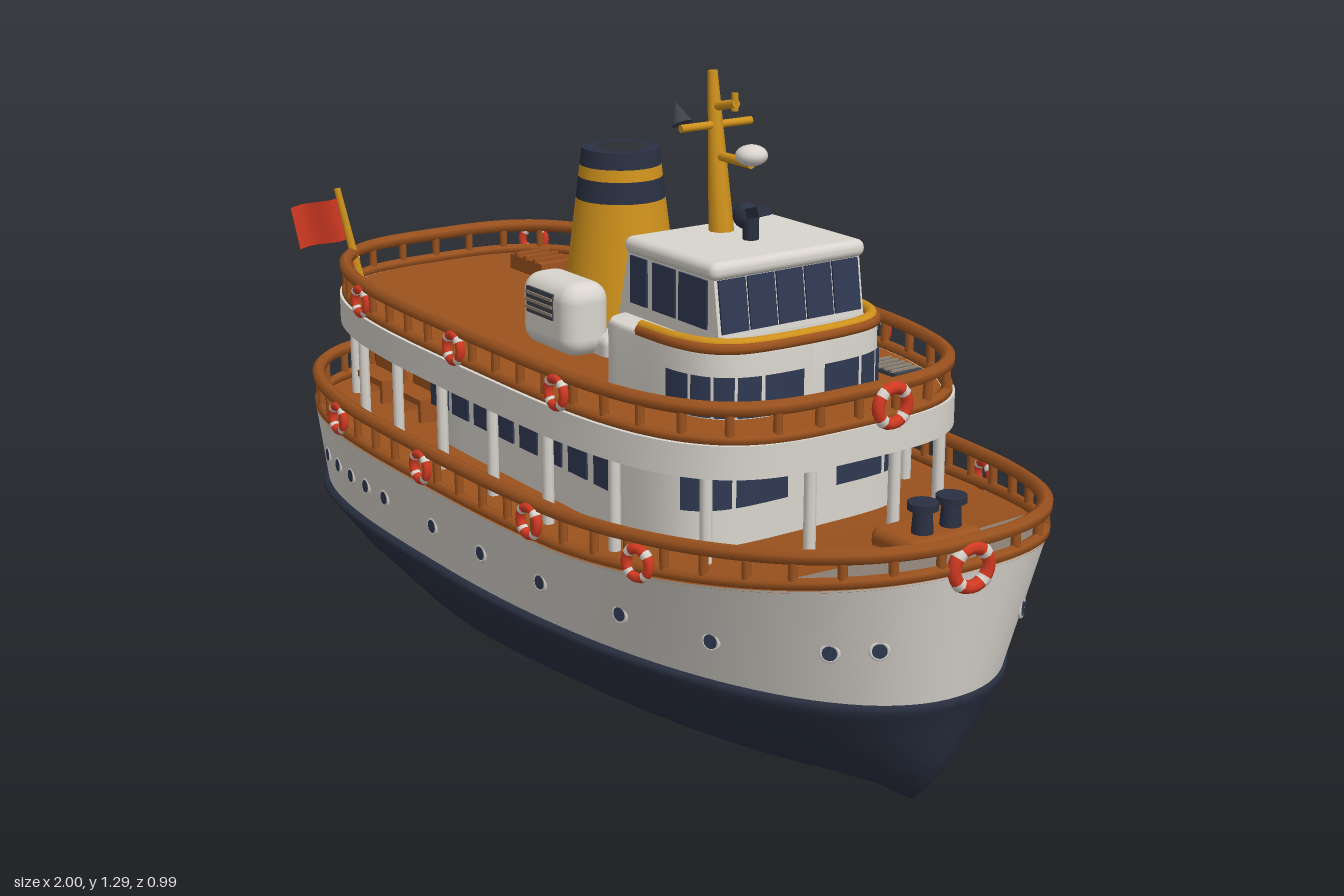
import * as THREE from 'three';
import { RoundedBoxGeometry } from 'three/addons/geometries/RoundedBoxGeometry.js';

const paint = (name, color, side = THREE.FrontSide) => {
  const m = new THREE.MeshStandardMaterial({ color, side });
  m.name = name;
  return m;
};

export function createModel() {
  const white = paint('white paint', 0xd8d4cd);
  const navy = paint('navy paint', 0x2a3042);
  const glass = paint('window glass', 0x2f3952);
  const wood = paint('varnished wood', 0x9b521e);
  const gold = paint('gold paint', 0xd0921c);
  const red = paint('red', 0xd23a22, THREE.DoubleSide);
  const grey = paint('grey deck', 0x8f8377);
  const dark = paint('dark metal', 0x3d4149);

  const ship = new THREE.Group();
  ship.name = 'ferry';
  const add = (name, geo, mat, x = 0, y = 0, z = 0, parent = ship) => {
    const m = new THREE.Mesh(geo, mat);
    m.name = name;
    m.position.set(x, y, z);
    parent.add(m);
    return m;
  };
  const box = (name, mat, w, h, d, x, y, z) => add(name, new THREE.BoxGeometry(w, h, d), mat, x, y, z);
  const V = (x, y, z) => new THREE.Vector3(x, y, z);
  // round bar between two points
  const bar = (name, mat, a, b, r0, r1 = r0) => {
    const d = b.clone().sub(a), p = a.clone().add(b).multiplyScalar(0.5);
    const m = add(name, new THREE.CylinderGeometry(r1, r0, d.length(), 8), mat, p.x, p.y, p.z);
    m.quaternion.setFromUnitVectors(V(0, 1, 0), d.normalize());
  };

  // Plan outlines: [stern x, bow x, half beam, stern power, bow power, middle x]
  const at = ([xs, xb, B, ns, nb, xm], t, y, s = 1) => {
    const c = Math.cos(t), n = c > 0 ? nb : ns, reach = c > 0 ? xb - xm : xm - xs;
    const x = xm + s * reach * Math.sign(c) * Math.abs(c) ** (2 / n);
    const z = s * B * Math.sign(Math.sin(t)) * Math.abs(Math.sin(t)) ** (2 / n);
    return V(x, typeof y === 'function' ? y(x) : y, z);
  };
  // skin through rings of [outline, y, scale]
  const loft = (rings, t0 = 0, t1 = Math.PI * 2, N = 120) => {
    const pos = [], idx = [];
    for (const [o, y, s] of rings)
      for (let j = 0; j <= N; j++) pos.push(...at(o, t0 + (t1 - t0) * j / N, y, s ?? 1).toArray());
    for (let i = 0; i < rings.length - 1; i++)
      for (let j = 0; j < N; j++) {
        const a = i * (N + 1) + j, c = a + N + 1;
        idx.push(a, c, a + 1, a + 1, c, c + 1);
      }
    const g = new THREE.BufferGeometry();
    g.setAttribute('position', new THREE.Float32BufferAttribute(pos, 3));
    g.setIndex(idx);
    g.computeVertexNormals();
    return g;
  };
  const floor = (o, y) => loft([1, 0.9, 0.75, 0.55, 0.3, 0].map(s => [o, y, s]));
  const curveOf = (o, y) => new THREE.CatmullRomCurve3(
    Array.from({ length: 96 }, (_, i) => at(o, i / 96 * Math.PI * 2, y)), true);
  const railing = (name, o, yLow, yTop, count) => {
    const low = curveOf(o, yLow), top = curveOf(o, yTop);
    add(name + 'LowerRail', new THREE.TubeGeometry(low, 200, 0.012, 6, true), wood);
    add(name + 'TopRail', new THREE.TubeGeometry(top, 200, 0.015, 6, true), wood);
    for (let i = 0; i < count; i++)
      bar(name + 'Post', wood, low.getPointAt(i / count), top.getPointAt(i / count), 0.009);
  };

  // Hull
  const sheer = x => 0.08 * Math.max(0, (x - 0.3) / 0.68) ** 1.5;
  const hullTop = x => 0.435 + sheer(x);
  const lip = [-1, 0.945, 0.46, 3.4, 2.1, -0.15];
  const water = [-0.985, 0.94, 0.448, 3.4, 2.1, -0.15];
  const gunwale = [-0.98, 0.982, 0.48, 3.4, 2.5, -0.15];
  const mainRail = [-0.97, 0.978, 0.473, 3.4, 2.5, -0.15];
  const keel = [-0.87, 0.82, 0.05, 1.3, 1.5, -0.1];
  add('lowerHull', loft([
    [keel, 0, 0], [keel, 0],
    [[-0.87, 0.85, 0.2, 1.2, 1.6, -0.1], 0.03],
    [[-0.875, 0.875, 0.32, 1.5, 1.7, -0.1], 0.065],
    [[-0.885, 0.9, 0.395, 2, 1.8, -0.12], 0.115],
    [[-0.93, 0.92, 0.435, 2.8, 2, -0.15], 0.18],
    [[-0.985, 0.935, 0.452, 3.3, 2.1, -0.15], 0.225],
    [lip, 0.24], [lip, 0.252], [water, 0.257]]), navy);
  add('upperHull', loft([[water, 0.25], [gunwale, hullTop]]), white);
  add('mainDeck', floor(gunwale, x => hullTop(x) - 0.004), wood);
  railing('main', mainRail, x => 0.447 + sheer(x), x => 0.511 + sheer(x) * 0.75, 56);

  // Grey foredeck plate
  const plate = new THREE.Shape([-0.66, -0.45, -0.3, -0.15, 0, 0.15, 0.3, 0.45, 0.66].map(t => {
    const p = at([-0.98, 0.96, 0.455, 3.4, 2.5, -0.15], t, 0);
    return new THREE.Vector2(p.x, -p.z);
  }).concat([[0.83, 0.2], [0.81, 0.02], [0.76, -0.06], [0.77, -0.14], [0.8, -0.19]].map(p => new THREE.Vector2(...p))));
  const plateGeo = new THREE.ShapeGeometry(plate).rotateX(-Math.PI / 2);
  const pp = plateGeo.attributes.position;
  for (let i = 0; i < pp.count; i++) pp.setY(i, hullTop(pp.getX(i)) + 0.006);
  plateGeo.computeVertexNormals();
  add('foredeckPlate', plateGeo, grey);

  // Portholes, placed on the hull side by x and y
  const side = (x, y) => {
    const f = t => {
      const a = at(water, t, 0.25), b = at(gunwale, t, hullTop);
      return a.clone().lerp(b, (y - a.y) / (b.y - a.y));
    };
    let lo = 0, hi = Math.PI;
    for (let i = 0; i < 40; i++) { const m = (lo + hi) / 2; if (f(m).x > x) lo = m; else hi = m; }
    const d = f(lo + 0.01).sub(f(lo - 0.01));
    return { p: f(lo), n: V(d.z, 0, -d.x).normalize() };
  };
  for (const [x, y] of [[-0.7, 0.345], [-0.62, 0.345], [-0.54, 0.345], [-0.46, 0.345], [-0.37, 0.345],
    [-0.16, 0.345], [0.03, 0.345], [0.23, 0.345], [0.45, 0.345], [0.65, 0.345], [0.85, 0.365], [0.91, 0.375]])
    for (const s of [1, -1]) {
      const { p, n } = side(x, y);
      p.z *= s; n.z *= s;
      const g = new THREE.Group();
      g.name = 'porthole';
      g.position.copy(p);
      g.quaternion.setFromUnitVectors(V(0, 0, 1), n);
      add('portholeGlass', new THREE.CylinderGeometry(0.014, 0.014, 0.008, 12).rotateX(Math.PI / 2), glass, 0, 0, 0, g);
      add('portholeRim', new THREE.TorusGeometry(0.016, 0.004, 6, 14), white, 0, 0, 0, g);
      ship.add(g);
    }

  // Main cabin, windows and deck benches
  const cabin = [-0.46, 0.5, 0.3, 12, 5, 0.1];
  add('mainCabin', loft([[cabin, 0.42], [cabin, 0.63]]), white);
  for (const s of [1, -1]) {
    for (let i = 0; i < 8; i++) box('cabinWindow', glass, 0.066, 0.068, 0.008, -0.41 + i * 0.092, 0.543, s * 0.3);
    box('cabinDoor', wood, 0.006, 0.15, 0.06, -0.46, 0.51, s * 0.2);
    for (const x of [-0.78, -0.6]) {
      box('benchSeat', wood, 0.13, 0.015, 0.06, x, 0.48, s * 0.25);
      box('benchBack', wood, 0.13, 0.05, 0.012, x, 0.505, s * 0.22);
      for (const e of [-0.05, 0.05]) box('benchLeg', wood, 0.012, 0.05, 0.05, x + e, 0.455, s * 0.25);
    }
  }
  // window panes wrapped around a curved front
  const panes = (name, o, y0, y1, tMax, count) => {
    const big = [o[0], o[1] + 0.004, o[2] + 0.004, ...o.slice(3)];
    const step = 2 * tMax / count;
    for (let i = 0; i < count; i++)
      add(name, loft([[big, y0], [big, y1]], -tMax + step * (i + 0.06), -tMax + step * (i + 0.94), 6), glass);
  };
  panes('cabinFrontWindow', cabin, 0.52, 0.605, 0.85, 6);

  // Promenade deck: white band, inset wooden rail, pillars below
  const prom = [-0.96, 0.648, 0.409, 3.4, 3.6, -0.1];
  const promRail = [-0.947, 0.636, 0.394, 3.4, 3.6, -0.1];
  const promFloor = [-0.937, 0.626, 0.384, 3.4, 3.6, -0.1];
  add('promenadeBand', loft([[prom, 0.622], [prom, 0.686]]), white);
  add('promenadeEdge', loft([[prom, 0.686], [promFloor, 0.686]]), white);
  add('promenadeUnderside', loft([[prom, 0.624, 0], [prom, 0.624]]), wood);
  add('promenadeDeck', floor(promFloor, 0.687), wood);
  railing('promenade', promRail, 0.694, 0.752, 46);
  const pillars = curveOf(promFloor, 0.43);
  for (let i = 0; i < 20; i++) {
    const p = pillars.getPointAt((i + 0.5) / 20);
    bar('deckPillar', white, p, V(p.x, 0.63, p.z), 0.012);
  }

  // Bridge: curved lower tier, wheelhouse with raked back, roof
  const tier = [0.12, 0.5, 0.235, 8, 3.6, 0.25];
  add('bridgeLowerTier', loft([[tier, 0.68], [tier, 0.81], [tier, 0.82, 0.97], [tier, 0.82, 0]]), white);
  panes('lowerTierWindow', tier, 0.69, 0.77, 1.4, 10);
  const prof = new THREE.Shape([[0.07, 0.68], [0.44, 0.68], [0.435, 0.83], [0.415, 0.965], [0.14, 0.965]]
    .map(p => new THREE.Vector2(...p)));
  add('wheelhouse', new THREE.ExtrudeGeometry(prof, { depth: 0.35, bevelEnabled: false }), white, 0, 0, -0.175);
  add('wheelhouseRoof', new RoundedBoxGeometry(0.3, 0.035, 0.37, 3, 0.016), white, 0.28, 0.96, 0);
  for (const s of [1, -1])
    for (const [x, w] of [[0.175, 0.055], [0.26, 0.075], [0.355, 0.09]])
      box('wheelhouseSideWindow', glass, w, 0.095, 0.008, x, 0.893, s * 0.175);
  for (let i = -2; i <= 2; i++)
    box('wheelhouseFrontWindow', glass, 0.008, 0.102, 0.063, 0.426, 0.892, i * 0.068).rotation.z = 0.147;
  // bridge front rail: wooden ledge with a gold bar on top
  const bridgeRail = (name, mat, grow, y, r) => {
    const pts = [-1, -0.8, -0.55, -0.3, 0, 0.3, 0.55, 0.8, 1]
      .map(k => at([0.06, 0.485 + grow, 0.228 + grow, 8, 4, 0.2], k * 1.53, y));
    add(name, new THREE.TubeGeometry(new THREE.CatmullRomCurve3(pts), 60, r, 8), mat);
  };
  bridgeRail('bridgeLedge', wood, 0.006, 0.823, 0.012);
  bridgeRail('bridgeRail', gold, 0, 0.83, 0.012);

  // Funnel with bands and side vents
  const rad = y => 0.13 - (y - 0.7) * 0.125;
  for (const [name, mat, a, b] of [['funnelBody', gold, 0.7, 0.985], ['funnelBand', navy, 0.985, 1.03],
    ['funnelStripe', gold, 1.03, 1.055], ['funnelTop', navy, 1.055, 1.09]])
    add(name, new THREE.CylinderGeometry(rad(b), rad(a), b - a, 24, 1, true), mat, -0.15, (a + b) / 2, 0);
  add('funnelRim', new THREE.RingGeometry(0.055, rad(1.09), 24).rotateX(-Math.PI / 2), navy, -0.15, 1.09, 0);
  add('funnelThroat', new THREE.CircleGeometry(0.085, 24).rotateX(-Math.PI / 2), navy, -0.15, 1.06, 0);
  add('funnelSkirt', new RoundedBoxGeometry(0.28, 0.06, 0.27, 3, 0.02), white, -0.14, 0.7, 0);
  for (const s of [1, -1]) {
    add('ventHousing', new RoundedBoxGeometry(0.2, 0.155, 0.11, 4, 0.04), white, -0.135, 0.76, s * 0.15);
    box('ventGrille', dark, 0.1, 0.055, 0.008, -0.145, 0.785, s * 0.204);
    for (let i = 0; i < 3; i++) box('ventSlat', grey, 0.1, 0.006, 0.008, -0.145, 0.769 + i * 0.016, s * 0.207);
  }

  // Mast, arms, dome, horn and radar
  bar('mast', gold, V(0.205, 0.97, 0), V(0.172, 1.29, 0), 0.026, 0.01);
  bar('crossArm', gold, V(0.185, 1.185, -0.085), V(0.185, 1.185, 0.085), 0.008);
  bar('domeArm', gold, V(0.19, 1.125, 0), V(0.3, 1.125, 0), 0.01);
  bar('upperArm', gold, V(0.18, 1.22, 0), V(0.25, 1.235, 0), 0.009);
  bar('armTip', gold, V(0.245, 1.22, 0), V(0.245, 1.255, 0), 0.007);
  add('radarDome', new THREE.SphereGeometry(0.032, 16, 10).scale(1, 0.65, 1), white, 0.3, 1.142, 0);
  add('horn', new THREE.ConeGeometry(0.022, 0.045, 10), dark, 0.165, 1.212, 0.075).rotation.z = 0.5;
  bar('radarStand', navy, V(0.3, 0.97, 0), V(0.3, 1.02, 0), 0.016);
  add('radarScanner', new THREE.SphereGeometry(0.027, 12, 8), navy, 0.285, 1.022, 0);
  box('radarBlade', navy, 0.075, 0.02, 0.03, 0.305, 1.03, 0).rotation.z = 0.3;

  // Flag and staff
  bar('flagStaff', gold, V(-0.875, 0.68, 0.24), V(-0.9, 0.905, 0.28), 0.011, 0.008);
  const flag = new THREE.PlaneGeometry(1, 1, 10, 1), fp = flag.attributes.position;
  for (let i = 0; i < fp.count; i++) {
    const u = fp.getX(i) + 0.5, v = fp.getY(i);
    fp.setXYZ(i, -0.895 - 0.05 * u + 0.008 * Math.sin(u * 7), 0.835 + v * 0.1 - 0.02 * u, 0.27 + 0.02 * v + 0.1 * u);
  }
  flag.computeVertexNormals();
  add('flag', flag, red);

  // Deck fittings
  add('ventDome', new THREE.CapsuleGeometry(0.048, 0.04, 6, 16), white, -0.68, 0.733, -0.32);
  box('skylight', wood, 0.14, 0.035, 0.085, -0.71, 0.705, -0.15);
  for (const e of [-0.04, 0, 0.04]) box('skylightRib', wood, 0.012, 0.01, 0.09, -0.71 + e, 0.725, -0.15);
  box('stairHatch', dark, 0.11, 0.008, 0.07, 0.39, 0.692, -0.29);
  for (let i = 0; i < 5; i++) box('stairTread', grey, 0.008, 0.008, 0.07, 0.35 + i * 0.02, 0.696, -0.29);
  add('windlassBed', new RoundedBoxGeometry(0.13, 0.05, 0.18, 3, 0.02), wood, 0.735, 0.475, -0.09);
  for (const z of [-0.13, -0.06]) {
    add('bollard', new THREE.CylinderGeometry(0.018, 0.022, 0.06, 14), navy, 0.755, 0.52, z);
    add('bollardCap', new THREE.CylinderGeometry(0.03, 0.03, 0.014, 14), navy, 0.755, 0.553, z);
  }

  // Lifebuoys hung on the rails
  const buoy = (x, y, z, turn, r = 0.028) => {
    const g = new THREE.Group();
    g.name = 'lifebuoy';
    g.position.set(x, y, z);
    g.rotation.y = turn;
    add('buoyRing', new THREE.TorusGeometry(r, r * 0.35, 8, 24), red, 0, 0, 0, g);
    for (let i = 0; i < 4; i++)
      add('buoyBand', new THREE.TorusGeometry(r, r * 0.38, 8, 4, 0.35), white, 0, 0, 0, g).rotation.z = i * Math.PI / 2 + 0.6;
    ship.add(g);
  };
  const zOn = ([xs, xb, B, ns, nb, xm], x) => {
    const n = x > xm ? nb : ns, t = x > xm ? (x - xm) / (xb - xm) : (xm - x) / (xm - xs);
    return B * (1 - t ** n) ** (1 / n);
  };
  for (const s of [1, -1]) {
    const turn = a => s > 0 ? a : Math.PI - a;
    for (const [x, a] of [[-0.89, -0.7], [-0.56, 0], [-0.17, 0], [0.23, 0.05], [0.53, 0.25]])
      buoy(x, 0.475, s * (zOn(mainRail, x) + 0.011), turn(a));
    for (const [x, a] of [[-0.9, -0.8], [-0.6, 0], [-0.16, 0], [0.22, 0]])
      buoy(x, 0.717, s * (zOn(promRail, x) + 0.011), turn(a));
  }
  buoy(0.65, 0.717, -0.07, Math.PI / 2, 0.035);
  buoy(0.985, 0.525, 0.03, Math.PI / 2 - 0.1, 0.037);

  return ship;
}
